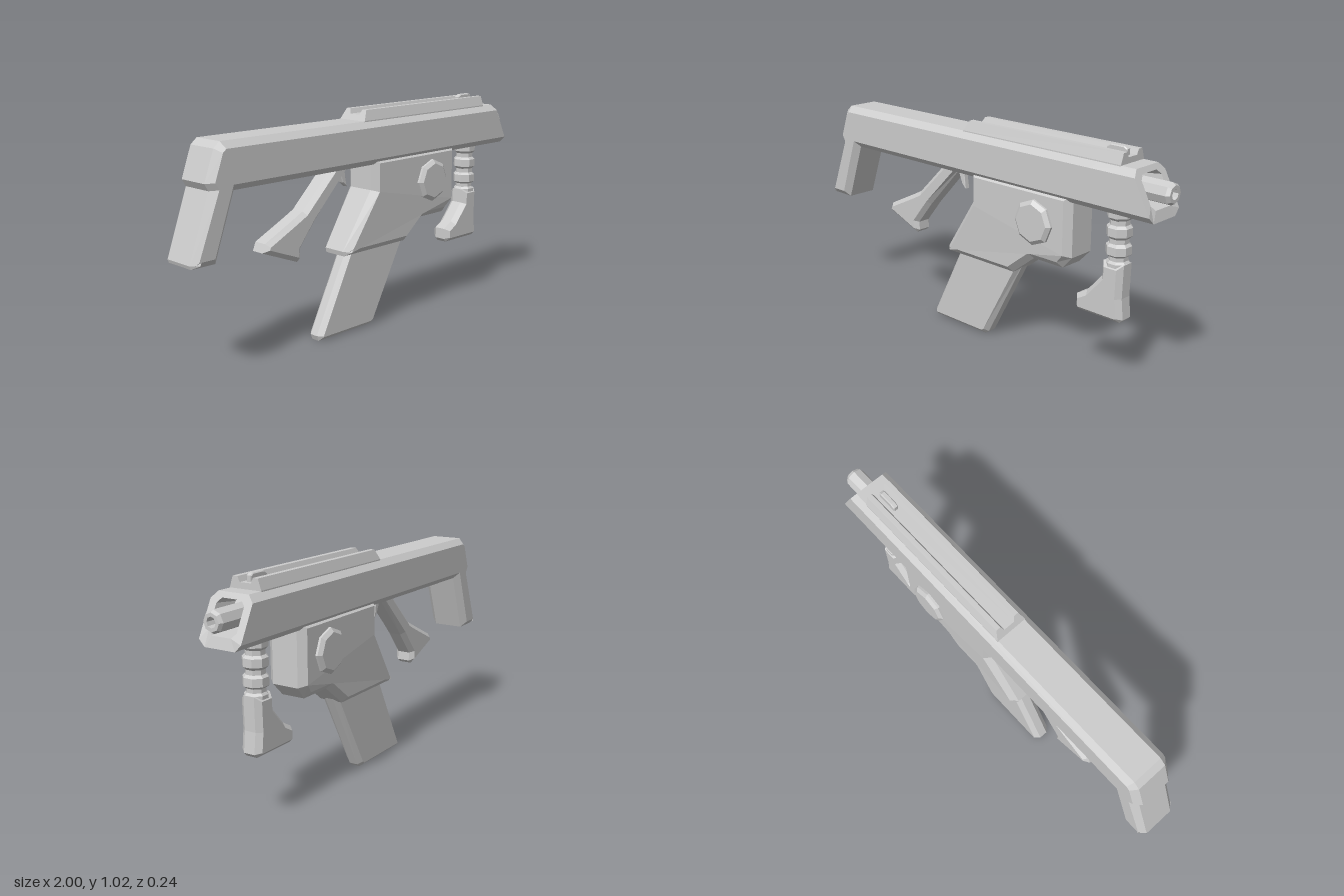
import * as THREE from 'three';

const grey = new THREE.MeshStandardMaterial({ color: 0xcccccc, flatShading: true });

function add(parent, name, geometry) {
  const mesh = new THREE.Mesh(geometry, grey);
  mesh.name = name;
  parent.add(mesh);
  return mesh;
}

const shapeOf = (pts) => new THREE.Shape(pts.map(([x, y]) => new THREE.Vector2(x, y)));

// Side profile given thickness 2 * half with chamfered edges
function plate(pts, half, bevel, bevelZ = bevel) {
  const g = new THREE.ExtrudeGeometry(shapeOf(pts), {
    depth: 2 * (half - bevelZ), bevelEnabled: true, bevelSegments: 1,
    bevelSize: bevel, bevelOffset: -bevel, bevelThickness: bevelZ, curveSegments: 4,
  });
  return g.translate(0, 0, -(half - bevelZ));
}

// Move every vertex by a rule
function warp(g, rule) {
  const p = g.attributes.position, v = new THREE.Vector3();
  for (let i = 0; i < p.count; i++) {
    rule(v.fromBufferAttribute(p, i));
    p.setXYZ(i, v.x, v.y, v.z);
  }
  g.computeVertexNormals();
  return g;
}

// Chamfered rectangle across x; xAt(y) slants the section
function ring(half, y0, y1, c, xAt) {
  const w = half - c;
  return [[y1, -w], [y1, w], [y1 - c, half], [y0 + c, half],
    [y0, w], [y0, -w], [y0 + c, -half], [y1 - c, -half]]
    .map(([y, z]) => new THREE.Vector3(xAt(y), y, z));
}

// Skin over successive rings, closing the last one
function loft(rings) {
  const tris = [], n = rings[0].length;
  for (let r = 0; r < rings.length - 1; r++) {
    const a = rings[r], b = rings[r + 1];
    for (let i = 0; i < n; i++) {
      const j = (i + 1) % n;
      tris.push(a[i], a[j], b[i], a[j], b[j], b[i]);
    }
  }
  const last = rings[rings.length - 1];
  for (let i = 1; i < n - 1; i++) tris.push(last[0], last[i], last[i + 1]);
  const g = new THREE.BufferGeometry().setFromPoints(tris);
  g.computeVertexNormals();
  return g;
}

const lathe = (pts, sides) =>
  new THREE.LatheGeometry(pts.map(([r, y]) => new THREE.Vector2(r, y)), sides);

export function createModel() {
  const model = new THREE.Group();
  model.name = 'compactBlaster';

  // Long receiver flowing into the dropped shoulder stock
  add(model, 'receiverAndStock', plate([
    [0.7, 0.965], [-0.84, 0.965], [-0.87, 0.94], [-0.918, 0.81], [-0.9, 0.78],
    [-1, 0.505], [-0.995, 0.49], [-0.88, 0.49], [-0.78, 0.767], [0.7, 0.767],
  ], 0.1, 0.028));

  // Slanted hollow muzzle end
  const slant = (y) => 0.96 - Math.max(0, y - 0.79) * 0.52;
  add(model, 'receiverMouth', loft([
    ring(0.1, 0.767, 0.965, 0.028, () => 0.66),
    ring(0.1, 0.767, 0.965, 0.028, slant),
    ring(0.066, 0.812, 0.943, 0.02, slant),
    ring(0.054, 0.822, 0.932, 0.018, (y) => slant(y) - 0.1),
  ]));

  // Barrel with an open bore
  const barrel = add(model, 'barrel', lathe([
    [0.046, 0.72], [0.046, 0.985], [0.037, 1], [0.022, 1], [0.02, 0.95], [0, 0.95],
  ], 8).rotateZ(-Math.PI / 2));
  barrel.position.y = 0.877;

  // Grooved top rail with a sloped rear
  const half = [[0.075, 0.95], [0.075, 0.967], [0.06, 1.012], [0.037, 1.012], [0.027, 0.99]];
  const section = [...half, ...half.slice().reverse().map(([x, y]) => [-x, y])];
  const rail = new THREE.ExtrudeGeometry(shapeOf(section), { depth: 0.86, bevelEnabled: false })
    .rotateY(Math.PI / 2).translate(-0.06, 0, 0);
  add(model, 'topRail', warp(rail, (v) => { if (v.x < 0) v.x += (v.y - 0.95) * 0.55; }));
  add(model, 'frontSight', plate([
    [0.68, 0.98], [0.78, 0.98], [0.78, 1.015], [0.765, 1.024], [0.7, 1.024], [0.68, 1.012],
  ], 0.012, 0.004));

  // Magazine housing, slightly wider at the top
  const housing = plate([
    [0, 0.8], [0, 0.65], [-0.17, 0.395], [-0.165, 0.373], [0.235, 0.373],
    [0.355, 0.468], [0.515, 0.468], [0.567, 0.525], [0.567, 0.8],
  ], 0.083, 0.028);
  add(model, 'magazineHousing', warp(housing, (v) => { if (v.y > 0.51) v.z *= 1.13; }));
  add(model, 'magazine', plate([
    [-0.1, 0.42], [-0.3, 0.025], [-0.29, 0], [0.035, 0], [0.055, 0.015], [0.27, 0.42],
  ], 0.043, 0.02, 0.023));

  // Octagonal side caps
  for (const side of [1, -1]) {
    const cap = add(model, side > 0 ? 'frontSideCap' : 'backSideCap', lathe([
      [0.1, 0.07], [0.1, 0.104], [0.082, 0.118], [0, 0.118],
    ], 8).rotateX(side * Math.PI / 2));
    cap.position.set(0.385, 0.648, 0);
  }

  // Swept rear grip and hooked trigger
  add(model, 'rearGrip', plate([
    [-0.2, 0.79], [-0.385, 0.61], [-0.44, 0.582], [-0.595, 0.507], [-0.61, 0.47],
    [-0.42, 0.395], [-0.402, 0.41], [-0.405, 0.45], [-0.315, 0.56], [-0.1, 0.79],
  ], 0.05, 0.02));
  add(model, 'trigger', plate([
    [-0.15, 0.78], [-0.142, 0.735], [-0.125, 0.695], [-0.102, 0.675],
    [-0.108, 0.715], [-0.112, 0.745], [-0.1, 0.78],
  ], 0.014, 0.004));

  // Ribbed front grip with a flared foot
  const grip = new THREE.Group();
  grip.name = 'frontGrip';
  model.add(grip);
  const ribs = [[0.05, 0.53], [0.05, 0.545], [0.041, 0.555], [0.041, 0.572]];
  for (const y of [0.582, 0.66, 0.738]) {
    ribs.push([0.054, y], [0.054, y + 0.035], [0.042, y + 0.046], [0.042, y + 0.066]);
  }
  const stem = add(grip, 'ribbedStem', lathe(ribs, 8).rotateY(Math.PI / 8));
  stem.position.x = 0.755;
  add(grip, 'flaredFoot', plate([
    [0.702, 0.545], [0.7, 0.478], [0.625, 0.392], [0.572, 0.362], [0.572, 0.31],
    [0.585, 0.294], [0.795, 0.294], [0.81, 0.31], [0.8, 0.4], [0.803, 0.545],
  ], 0.05, 0.02, 0.024));

  return model;
}
